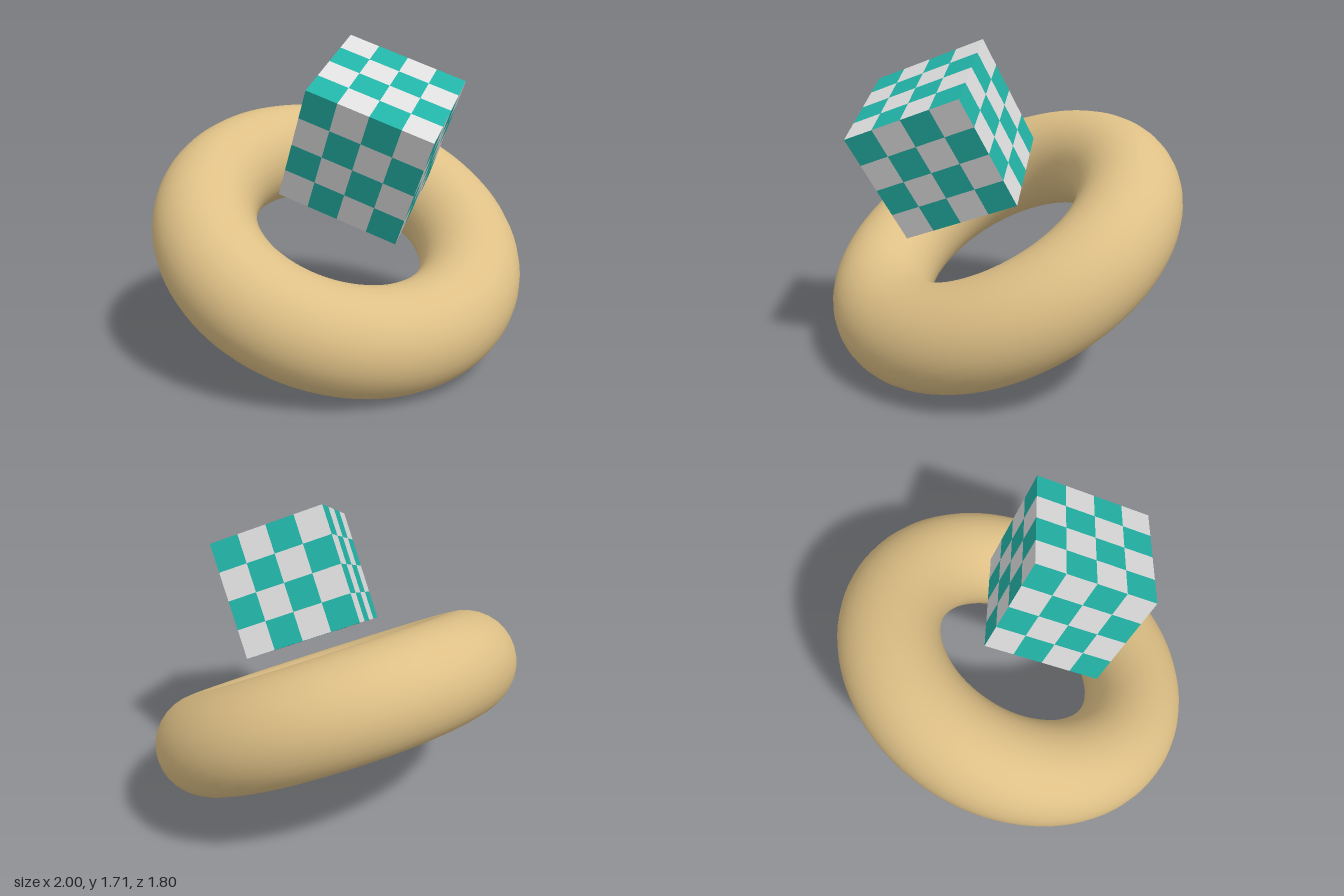
import * as THREE from 'three';

const tan = new THREE.MeshStandardMaterial({ name: 'sand', color: 0xdec086 });
const teal = new THREE.MeshStandardMaterial({ name: 'teal', color: 0x22b2a6 });
const pale = new THREE.MeshStandardMaterial({ name: 'paleGrey', color: 0xdcdcdc });

// Cube whose faces are split into n x n checks of two alternating materials
function checkedCube(size, n) {
  const geometry = new THREE.BoxGeometry(size, size, size, n, n, n);
  geometry.clearGroups();
  for (let q = 0; q < 6 * n * n; q++) {
    const cell = q % (n * n);
    const row = Math.floor(cell / n);
    const col = cell % n;
    geometry.addGroup(q * 6, 6, (row + col) % 2);
  }
  return new THREE.Mesh(geometry, [teal, pale]);
}

export function createModel() {
  const model = new THREE.Group();
  model.name = 'ringAndCube';

  // Both parts share one axis, leaning toward the front
  const tilted = new THREE.Group();
  tilted.name = 'tiltedAssembly';
  tilted.position.y = 0.635;
  tilted.rotation.x = Math.PI / 6;
  model.add(tilted);

  // Ring lying around the axis
  const ringGeometry = new THREE.TorusGeometry(0.73, 0.27, 32, 100);
  ringGeometry.rotateX(-Math.PI / 2);
  const ring = new THREE.Mesh(ringGeometry, tan);
  ring.name = 'ring';
  tilted.add(ring);

  // Checked cube floating above the hole, turned corner-first
  const cube = checkedCube(0.622, 4);
  cube.name = 'checkedCube';
  cube.position.y = 0.673;
  cube.rotation.y = Math.PI / 4;
  tilted.add(cube);

  return model;
}
